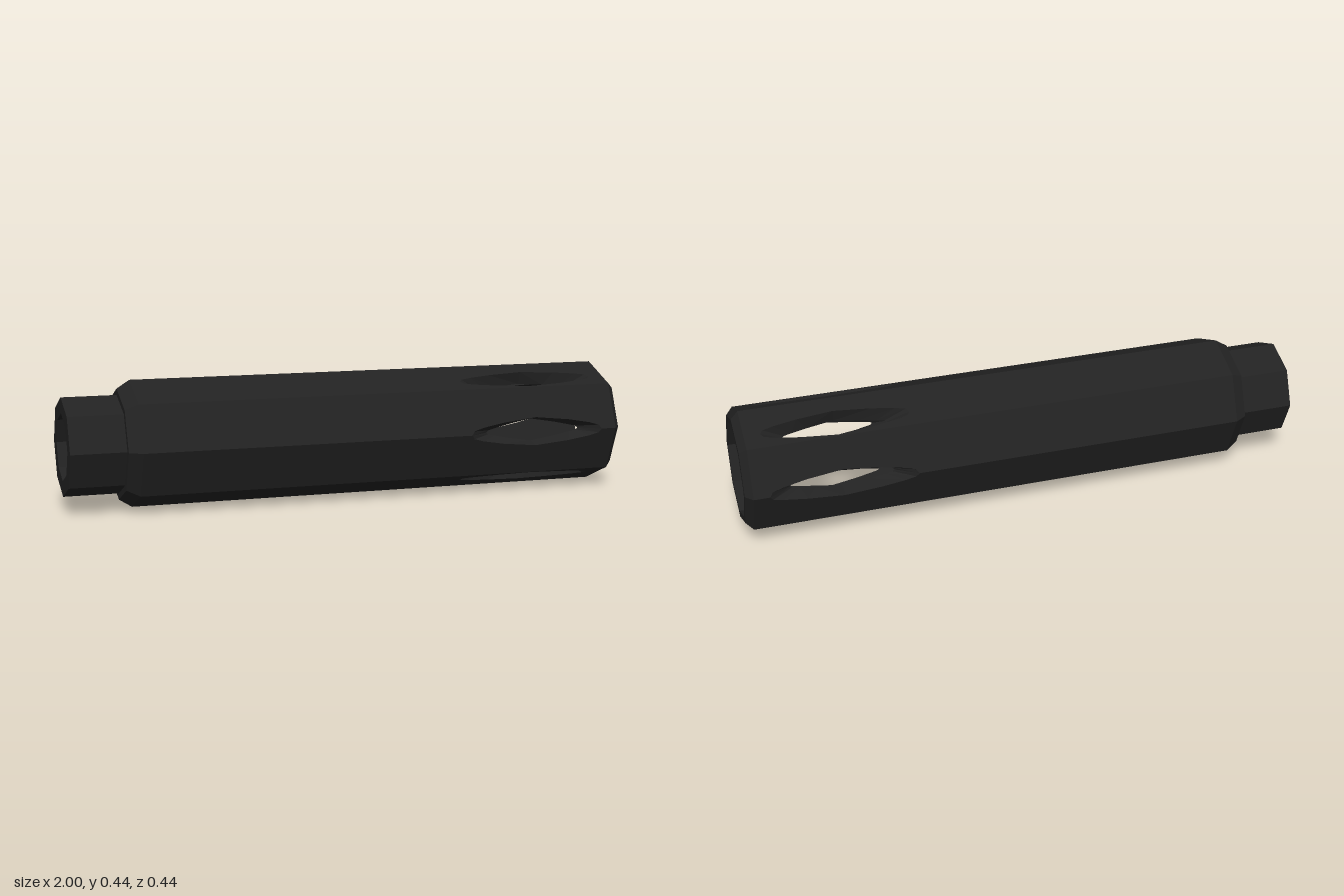
import * as THREE from 'three';

const CY = 0.22;                 // height of the tube axis
const SLOT_X = 0.665;            // middle of the vent slots
const DEG = Math.PI / 180;
const R_OUT = 0.22, R_IN = 0.17;

// Radius of an octagon (corner radius R, corners every 45 degrees) at angle a
function octRadius(R, a) {
  const step = Math.PI / 4;
  const off = ((a % step) + step) % step - step / 2;
  return R * Math.cos(step / 2) / Math.cos(off);
}

function octPoint(R, x, a) {
  const r = octRadius(R, a);
  return [x, CY + r * Math.sin(a), r * Math.cos(a)];
}

// Angle from the slot's centre line at which the sideways offset equals w
function slotAngle(R, centre, side, w) {
  let a = 0;
  for (let i = 0; i < 8; i++) a = Math.asin(w / octRadius(R, centre + side * a));
  return a;
}

// Slot outline stations: [x as a fraction of half length, outer half width, inner half width]
const half = [[0, 0.051, 0.04], [0.5, 0.038, 0.025], [0.82, 0.024, 0.013], [0.96, 0.014, 0.007], [1, 0, 0]];
const stations = [...half.slice(1).reverse().map(([t, o, i]) => [-t, o, i]), ...half];

function addQuad(out, a, b, c, d, flip) {
  if (flip) [b, d] = [d, b];
  out.push(...a, ...b, ...c, ...a, ...c, ...d);
}

function toGeometry(positions) {
  const g = new THREE.BufferGeometry();
  g.setAttribute('position', new THREE.Float32BufferAttribute(positions, 3));
  g.computeVertexNormals();
  return g;
}

// Rows of points running along x beside one half of a slot
function slotRows(R, centre, side, halfLength, column, x0, x1) {
  const row = (x, w) => [slotAngle(R, centre, side, w), 15 * DEG, 30 * DEG]
    .map((a) => octPoint(R, x, centre + side * a));
  return [row(x0, 0), ...stations.map((s) => row(SLOT_X + s[0] * halfLength, s[column])), row(x1, 0)];
}

function addRows(out, rows, flip) {
  for (let k = 0; k < rows.length - 1; k++) {
    for (let j = 0; j < 2; j++) {
      addQuad(out, rows[k][j], rows[k + 1][j], rows[k + 1][j + 1], rows[k][j + 1], flip);
    }
  }
}

// Octagonal collar turned around the x axis from [x, radius] points
function collar(profile, material, name) {
  const g = new THREE.LatheGeometry(profile.map(([x, r]) => new THREE.Vector2(r, x)), 8);
  g.rotateZ(-Math.PI / 2);
  g.translate(0, CY, 0);
  const flat = g.toNonIndexed();
  flat.computeVertexNormals();
  const mesh = new THREE.Mesh(flat, material);
  mesh.name = name;
  return mesh;
}

export function createModel() {
  const group = new THREE.Group();
  group.name = 'ventedTube';
  const black = new THREE.MeshStandardMaterial({ color: 0x222222, flatShading: true });
  black.name = 'matteBlack';

  // Six slots around the axis; each owns a 60 degree sector made of two halves
  const outer = [], inner = [], walls = [];
  for (let i = 0; i < 6; i++) {
    const centre = i * 60 * DEG;
    for (const side of [1, -1]) {
      const o = slotRows(R_OUT, centre, side, 0.255, 1, -0.765, 0.975);
      const n = slotRows(R_IN, centre, side, 0.18, 2, -0.77, 1);
      addRows(outer, o, side < 0);
      addRows(inner, n, side > 0);
      // Bevelled slot edge joining outer and inner surfaces
      for (let k = 1; k < o.length - 2; k++) {
        addQuad(walls, o[k][0], o[k + 1][0], n[k + 1][0], n[k][0], side > 0);
      }
    }
  }
  for (const [name, positions] of [['outerShell', outer], ['innerShell', inner], ['slotEdges', walls]]) {
    const mesh = new THREE.Mesh(toGeometry(positions), black);
    mesh.name = name;
    group.add(mesh);
  }

  // Narrow bored neck with the sloped shoulder
  group.add(collar([
    [-0.77, R_IN], [-0.77, 0.116], [-1, 0.116], [-1, 0.17], [-0.81, 0.17], [-0.81, 0.192], [-0.765, R_OUT],
  ], black, 'rearNeck'));

  // Chamfered rim at the open end
  group.add(collar([[0.975, R_OUT], [1, 0.192], [1, R_IN]], black, 'openRim'));

  return group;
}
